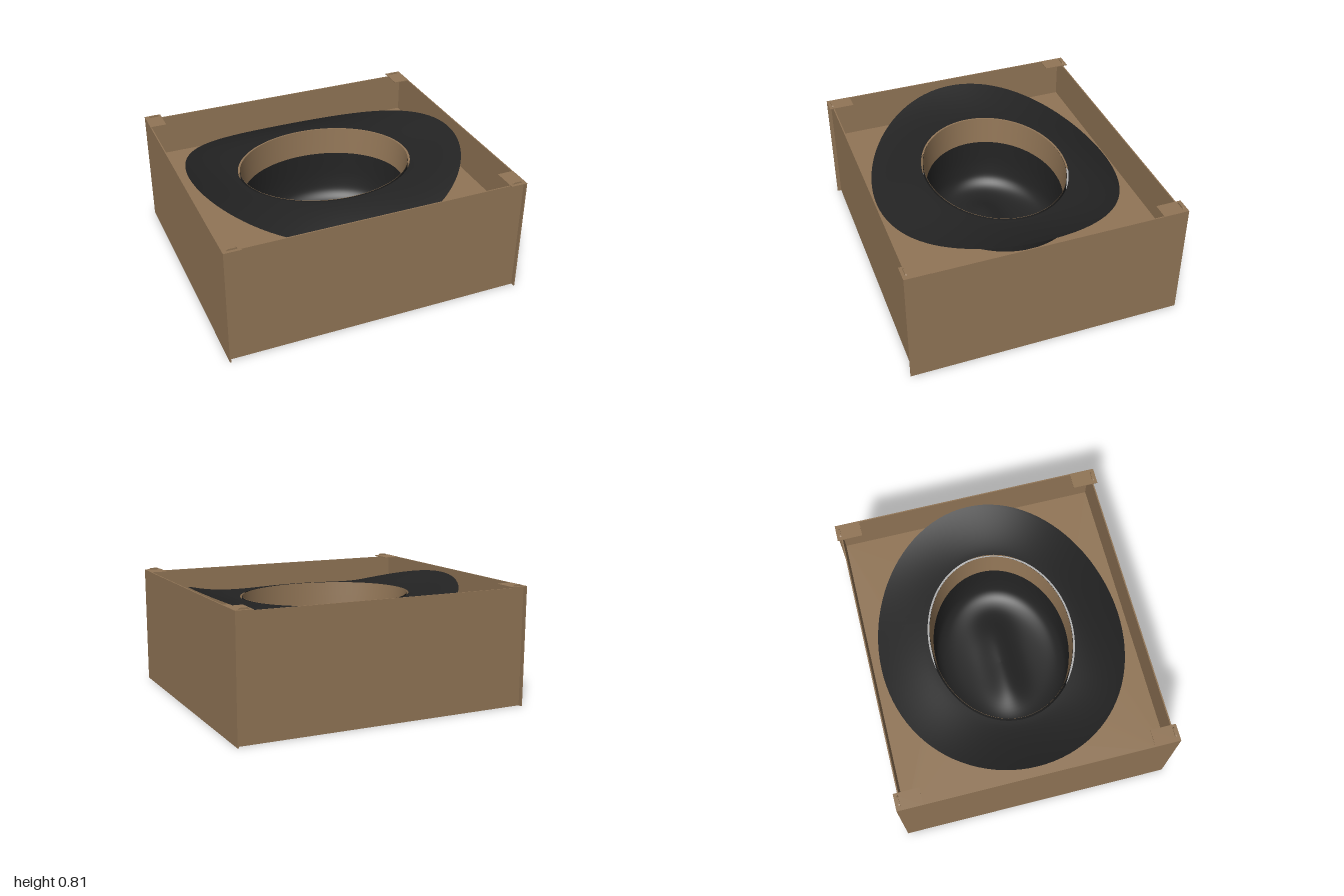
import * as THREE from 'three';

const card = new THREE.MeshStandardMaterial({ color: 0x917556, side: THREE.DoubleSide });
card.name = 'tan cardboard';
const felt = new THREE.MeshStandardMaterial({ color: 0x232323, side: THREE.DoubleSide });
felt.name = 'black felt';

// Smooth closed sheet: point(u, angle) with u from 0 to 1, wrapped round the y axis
function sheet(point, rows, cols = 96) {
  const pos = [], index = [];
  for (let i = 0; i <= rows; i++) {
    for (let j = 0; j < cols; j++) {
      pos.push(...point(i / rows, (j / cols) * Math.PI * 2));
      if (i === rows) continue;
      const a = i * cols + j, b = i * cols + ((j + 1) % cols);
      index.push(a, b, a + cols, b, b + cols, a + cols);
    }
  }
  const g = new THREE.BufferGeometry();
  g.setAttribute('position', new THREE.Float32BufferAttribute(pos, 3));
  g.setIndex(index);
  g.computeVertexNormals();
  return g;
}

export function createModel() {
  const model = new THREE.Group();
  const add = (name, geometry, material, x = 0, y = 0, z = 0) => {
    const m = new THREE.Mesh(geometry, material);
    m.name = name;
    m.position.set(x, y, z);
    model.add(m);
    return m;
  };

  // Box walls, with inner legs that hold up the platform
  for (const s of [-1, 1]) {
    add('sideWall', new THREE.BoxGeometry(0.008, 0.8, 1.82), card, s * 0.996, 0.4, 0);
    add('innerLeg', new THREE.BoxGeometry(0.006, 0.5, 1.74), card, s * 0.988, 0.25, 0);
    add('endWall', new THREE.BoxGeometry(1.984, 0.79, 0.008), card, 0, 0.395, s * 0.88);

    // Corner flaps with a small locking tongue
    for (const t of [-1, 1]) {
      add('cornerFlap', new THREE.BoxGeometry(0.112, 0.006, 0.168), card, s * 0.944, 0.798, t * 0.826);
      const tongue = new THREE.Shape();
      tongue.moveTo(-0.035, 0);
      tongue.lineTo(0.035, 0);
      tongue.quadraticCurveTo(0.032, 0.014, 0.018, 0.014);
      tongue.lineTo(-0.018, 0.014);
      tongue.quadraticCurveTo(-0.032, 0.014, -0.035, 0);
      add('lockingTongue', new THREE.ExtrudeGeometry(tongue, { depth: 0.01, bevelEnabled: false }),
        card, s * 0.94, 0.798, t * 0.885 - 0.005);
    }
  }

  // Platform with an oval opening for the crown
  const board = new THREE.Shape();
  board.moveTo(-0.99, -0.876);
  board.lineTo(0.99, -0.876);
  board.lineTo(0.99, 0.876);
  board.lineTo(-0.99, 0.876);
  board.closePath();
  const opening = new THREE.Path();
  opening.absellipse(0, 0, 0.68, 0.56, 0, Math.PI * 2, true);
  board.holes.push(opening);
  const boardGeo = new THREE.ExtrudeGeometry(board, { depth: 0.008, bevelEnabled: false, curveSegments: 40 });
  boardGeo.rotateX(-Math.PI / 2);
  add('platform', boardGeo, card, 0, 0.497, 0);

  // Upturned hat brim: high at the x ends, drooping at the z ends
  add('brim', sheet((u, a) => {
    const c = Math.cos(a), s = Math.sin(a);
    const rim = 0.58 + 0.2 * c * c;
    return [
      THREE.MathUtils.lerp(0.594, 0.935, u) * c,
      0.69 + (rim - 0.69) * Math.pow(u, 1.5),
      THREE.MathUtils.lerp(0.48, 0.82, u) * s,
    ];
  }, 16), felt);

  // Crown hanging through the platform, with a long dent in its end
  const profile = new THREE.SplineCurve([
    [0.58, 0.69], [0.577, 0.5], [0.568, 0.28], [0.535, 0.17],
    [0.43, 0.115], [0.22, 0.095], [0, 0.09],
  ].map(([r, y]) => new THREE.Vector2(r, y)));
  add('crown', sheet((u, a) => {
    const p = profile.getPoint(u);
    const x = p.x * Math.cos(a), z = p.x * Math.sin(a) * 0.807;
    const dent = 0.07 * Math.exp(-((x / 0.34) ** 4) - (z / 0.12) ** 2);
    return [x, p.y + dent, z];
  }, 48), felt);

  // Sweatband lining the crown opening
  add('sweatband', sheet((u, a) => {
    const r = THREE.MathUtils.lerp(0.579, 0.562, u);
    return [r * Math.cos(a), 0.692 - 0.19 * u, r * 0.805 * Math.sin(a)];
  }, 2), card);

  return model;
}
